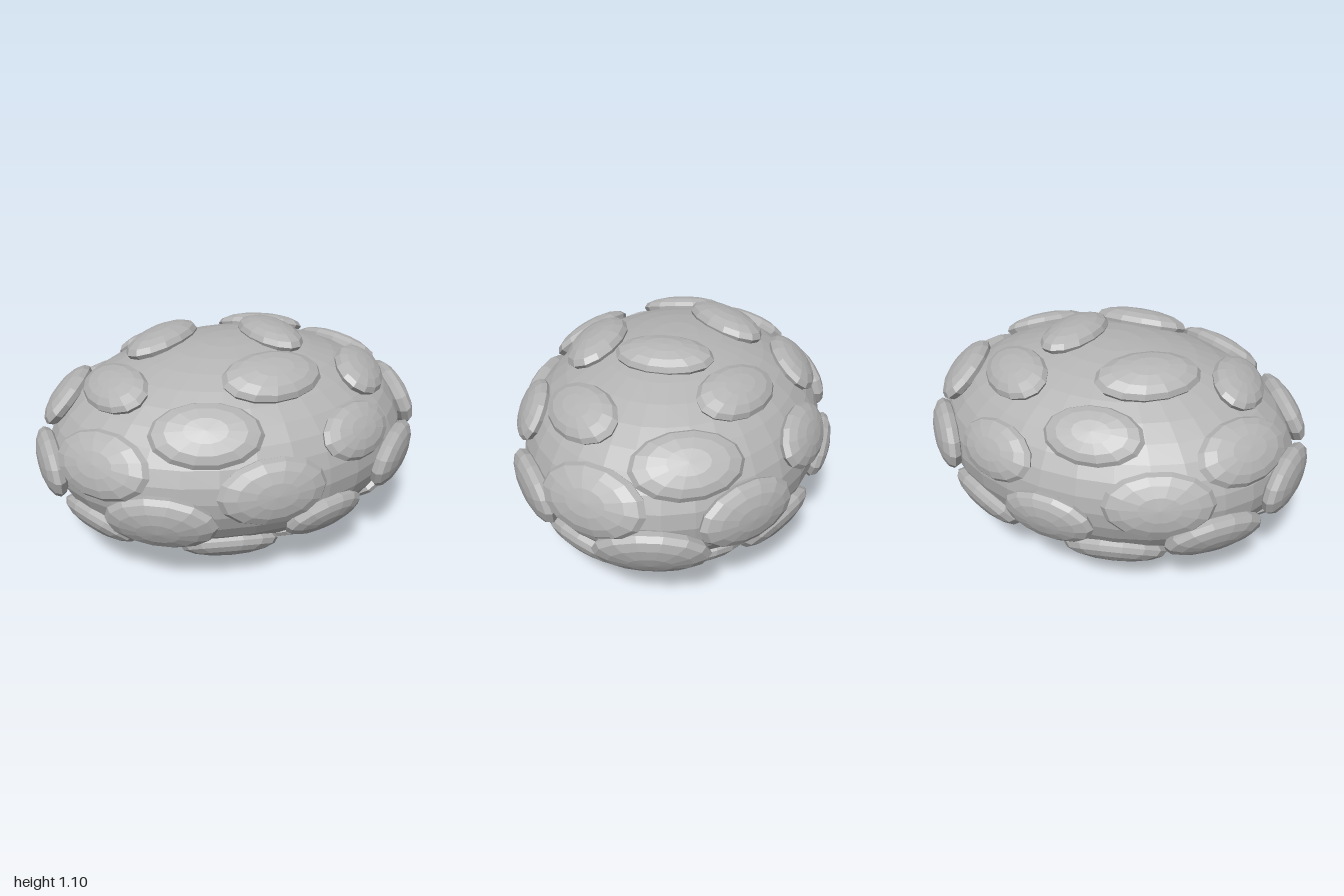
import * as THREE from 'three';

// An oval body studded with flattened oval scales in a golden-angle spiral.
export function createModel() {
  const model = new THREE.Group();
  const grey = new THREE.MeshStandardMaterial({ color: 0xb4b4b4 });
  grey.name = 'stone grey';
  grey.flatShading = true;

  const radii = new THREE.Vector3(0.93, 0.495, 0.745);
  const centreY = 0.54;

  // Oval core
  const body = new THREE.Mesh(new THREE.SphereGeometry(1, 32, 20), grey);
  body.name = 'body';
  body.scale.copy(radii);
  body.position.y = centreY;
  model.add(body);

  // Relative size of each scale, from the top down
  const sizes = [
    0.95, 1.02, 1.02, 0.92, 0.9, 0.92, 0.93, 1.03, 1.02, 1, 0.88, 0.9,
    1.02, 1.05, 1.02, 1.04, 1, 0.98, 1, 0.92, 1.05, 1.06, 1, 0.88,
    1, 0.95, 1, 1, 0.95, 0.95, 1, 0.95, 0.95, 0.97,
  ];
  const golden = Math.PI * (3 - Math.sqrt(5));
  const up = new THREE.Vector3(0, 1, 0);

  // Unit dome whose pole points outwards along +z
  const dome = new THREE.SphereGeometry(1, 14, 8).rotateX(Math.PI / 2);

  sizes.forEach((size, i) => {
    const y = 1 - (2 * i + 1) / sizes.length;
    const ring = Math.sqrt(1 - y * y);
    const unit = new THREE.Vector3(Math.cos(i * golden) * ring, y, -Math.sin(i * golden) * ring);

    // Each scale lies flat on the surface, its long side level
    const normal = unit.clone().divide(radii).normalize();
    const across = up.clone().cross(normal).normalize();
    const along = normal.clone().cross(across);

    const scale = new THREE.Mesh(dome, grey);
    scale.name = 'scale' + (i + 1);
    scale.quaternion.setFromRotationMatrix(new THREE.Matrix4().makeBasis(across, along, normal));
    scale.position.copy(unit).multiply(radii);
    scale.position.y += centreY;
    scale.scale.set(0.25, 0.153, 0.07).multiplyScalar(size);
    model.add(scale);
  });
  return model;
}
